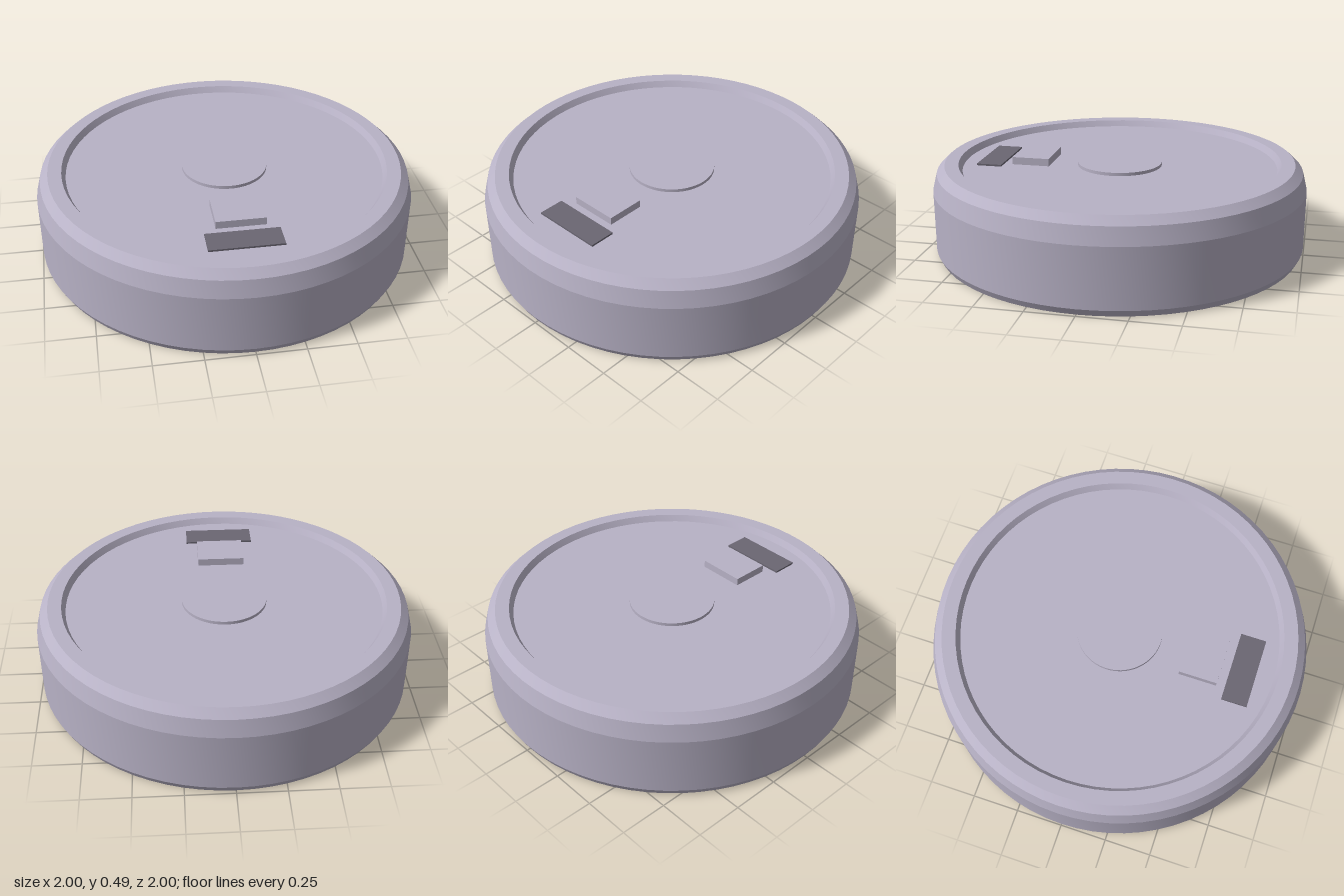
import * as THREE from 'three';
import { toCreasedNormals } from 'three/addons/utils/BufferGeometryUtils.js';

const FLOOR = 0.447; // height of the recessed top face
const SEGMENTS = 72;

export function createModel() {
  const group = new THREE.Group();
  const casing = new THREE.MeshStandardMaterial({ color: 0xb8b2c6 });
  casing.name = 'pale lavender casing';
  const dark = new THREE.MeshStandardMaterial({ color: 0x6b6773 });
  dark.name = 'dark grey label';

  function add(name, geometry, material, x = 0, y = 0, z = 0) {
    const mesh = new THREE.Mesh(geometry, material);
    mesh.name = name;
    mesh.position.set(x, y, z);
    group.add(mesh);
  }

  // Turned part with crisp bands and a smooth circumference
  function turned(name, profile) {
    const points = profile.map(([r, y]) => new THREE.Vector2(r, y));
    add(name, toCreasedNormals(new THREE.LatheGeometry(points, SEGMENTS), 0.2), casing);
  }

  // Block resting on the recessed face
  function plate(name, material, width, height, depth, x, z) {
    add(name, new THREE.BoxGeometry(width, height, depth), material, x, FLOOR + height / 2, z);
  }

  // Hollow underside: ceiling, inner wall and thin bottom rim
  turned('hollowInterior', [[0, 0.39], [0.97, 0.39], [0.985, 0.035], [0.972, 0], [0.98, 0]]);

  // Outer wall with chamfers, flat top ring and sloped recess edge
  turned('outerShell', [
    [0.98, 0], [0.998, 0.035], [1, 0.35], [0.977, 0.44], [0.935, 0.48],
    [0.862, 0.48], [0.842, FLOOR],
  ]);

  // Recessed top face
  turned('topFace', [[0.842, FLOOR], [0, FLOOR]]);

  // Raised central disc
  turned('centreDisc', [[0.226, FLOOR], [0.226, 0.464], [0, 0.464]]);

  // Test button and the dark plate in front of it
  plate('testButton', casing, 0.255, 0.04, 0.203, -0.004, 0.466);
  plate('labelPlate', dark, 0.376, 0.0095, 0.136, -0.006, 0.681);

  return group;
}
